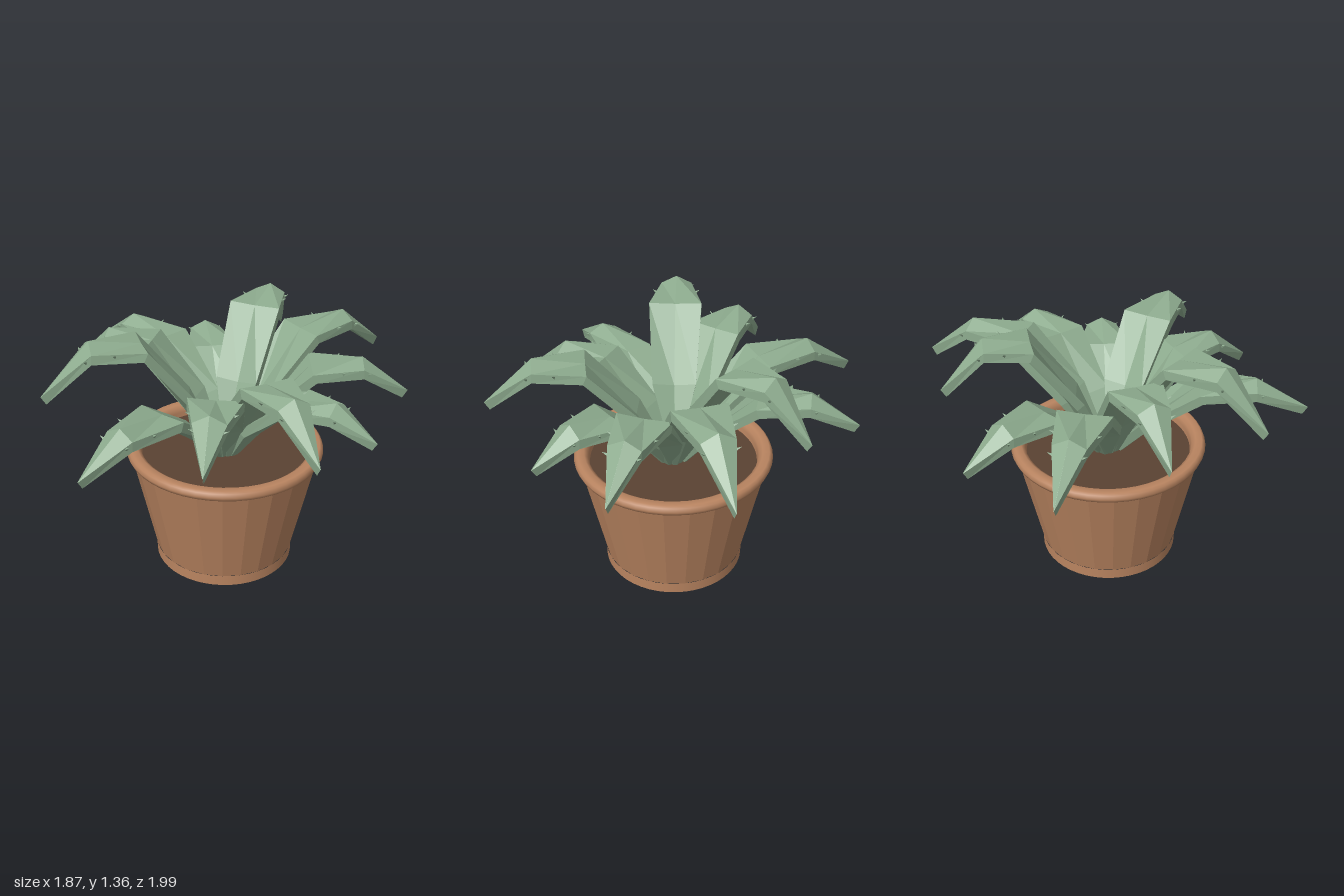
import * as THREE from 'three';

const leafGreen = new THREE.MeshStandardMaterial({ color: 0x8dab8e, flatShading: true });
leafGreen.name = 'leafGreen';
const terracotta = new THREE.MeshStandardMaterial({ color: 0xb98460 });
terracotta.name = 'terracotta';
const terracottaFacets = terracotta.clone();
terracottaFacets.flatShading = true;
const soilBrown = new THREE.MeshStandardMaterial({ color: 0x5a4232 });
soilBrown.name = 'soilBrown';

const THICK = 0.05;

// Stations along a leaf: radius, ridge height, half width, edge lift, underside direction
function leafStations(length, peak) {
  const kneeY = peak - 0.045;
  const tipY = 0.93 + (peak - 1.09) * 0.6;
  return [
    { r: 0.0, y: 0.6, w: 0.015, lift: 0.01, n: [0.77, -0.64] },
    { r: 0.2 * length, y: 0.6 + (kneeY - 0.6) * 0.5, w: 0.115, lift: 0.035, n: [0.77, -0.64] },
    { r: 0.46 * length, y: kneeY, w: 0.14, lift: 0.005, n: [0.4, -0.92] },
    { r: 0.735 * length, y: peak, w: 0.083, lift: -0.042, n: [0.05, -1] },
    { r: length, y: tipY, w: 0.001, lift: 0, n: [-0.5, -0.87] },
  ];
}

// Six-point cross-sections: folded top, then folded underside
function leafGeometry(stations) {
  const pos = [], index = [];
  for (const { r, y, w, lift, n } of stations) {
    const point = (side, depth) => {
      const d = depth - (side ? lift : 0);
      pos.push(r + n[0] * d, y + n[1] * d, side * w);
    };
    [-1, 0, 1].forEach((s) => point(s, 0));
    [1, 0, -1].forEach((s) => point(s, THICK));
  }
  for (let s = 0; s < stations.length - 1; s++) {
    for (let j = 0; j < 6; j++) {
      const a = s * 6 + j, b = s * 6 + ((j + 1) % 6);
      index.push(a, b, a + 6, b, b + 6, a + 6);
    }
  }
  const g = new THREE.BufferGeometry();
  g.setAttribute('position', new THREE.Float32BufferAttribute(pos, 3));
  g.setIndex(index);
  const flat = g.toNonIndexed();
  flat.computeVertexNormals();
  return flat;
}

const spineGeometry = new THREE.ConeGeometry(0.011, 0.035, 4);

function makeLeaf(length, peak) {
  const leaf = new THREE.Group();
  const st = leafStations(length, peak);
  const blade = new THREE.Mesh(leafGeometry(st), leafGreen);
  blade.name = 'leafBlade';
  leaf.add(blade);

  // Small spines along both edges
  for (const [k, t] of [[2, 0.6], [3, 0.12]]) {
    const mix = (f) => THREE.MathUtils.lerp(f(st[k]), f(st[k + 1]), t);
    for (const side of [-1, 1]) {
      const spine = new THREE.Mesh(spineGeometry, leafGreen);
      spine.name = 'spine';
      spine.position.set(
        mix((s) => s.r - s.n[0] * s.lift),
        mix((s) => s.y - s.n[1] * s.lift) - 0.005,
        side * (mix((s) => s.w) + 0.008)
      );
      spine.quaternion.setFromUnitVectors(
        new THREE.Vector3(0, 1, 0),
        new THREE.Vector3(0.25, 0.5, side * 0.8).normalize()
      );
      leaf.add(spine);
    }
  }
  return leaf;
}

function lathe(points, segments, material, name) {
  const g = new THREE.LatheGeometry(points.map(([x, y]) => new THREE.Vector2(x, y)), segments);
  const mesh = new THREE.Mesh(g, material);
  mesh.name = name;
  return mesh;
}

export function createModel() {
  const model = new THREE.Group();
  model.name = 'pottedSucculent';
  const plant = new THREE.Group();
  plant.name = 'plantAndPot';
  plant.position.set(0.07, 0, -0.04);
  model.add(plant);

  // Pot: underside, foot band, tapered wall, rounded rim and inner wall
  plant.add(lathe([[0, 0], [0.38, 0]], 48, terracotta, 'potBottom'));
  plant.add(lathe([[0.38, 0], [0.38, 0.06]], 48, terracotta, 'potFoot'));
  plant.add(lathe([[0.38, 0.06], [0.505, 0.64]], 24, terracottaFacets, 'potWall'));
  plant.add(lathe([
    [0.46, 0.63], [0.505, 0.63], [0.522, 0.64], [0.53, 0.66], [0.522, 0.68],
    [0.51, 0.69], [0.475, 0.69], [0.455, 0.675], [0.45, 0.65], [0.44, 0.58],
  ], 48, terracotta, 'potRim'));

  // Soil disc
  const soil = new THREE.Mesh(new THREE.CircleGeometry(0.447, 48), soilBrown);
  soil.name = 'soil';
  soil.rotation.x = -Math.PI / 2;
  soil.position.y = 0.625;
  plant.add(soil);

  // Eleven leaves cycling through three lengths and four heights
  const lengths = [1.05, 0.955, 0.862];
  for (let i = 1; i <= 11; i++) {
    const leaf = makeLeaf(lengths[i % 3], 1.36 - 0.09 * (i % 4));
    leaf.name = 'leaf' + i;
    leaf.rotation.y = (-i * Math.PI * 2) / 11;
    plant.add(leaf);
  }
  return model;
}
